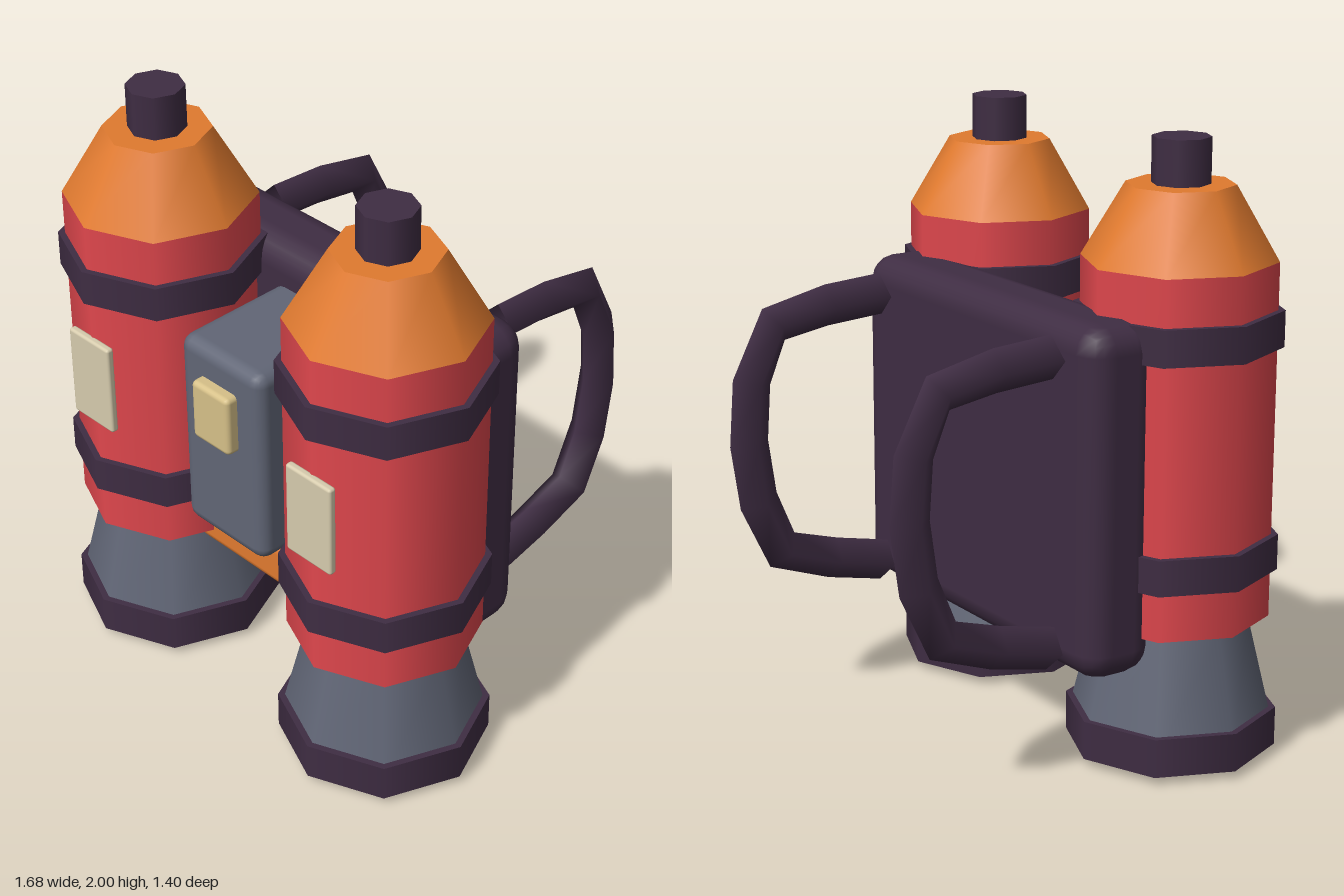
import * as THREE from 'three';
import { RoundedBoxGeometry } from 'three/addons/geometries/RoundedBoxGeometry.js';

export function createModel() {
  const mat = (name, color, extra = {}) => {
    const m = new THREE.MeshStandardMaterial({ color, ...extra });
    m.name = name;
    return m;
  };
  const red = mat('red', 0xe0474d);
  const orange = mat('orange', 0xe07a2f);
  const dark = mat('dark plum', 0x3f2d43, { side: THREE.DoubleSide });
  const grey = mat('slate grey', 0x616676);
  const cream = mat('cream', 0xd6cbad);
  const gold = mat('pale gold', 0xd6c088);

  const root = new THREE.Group();
  root.name = 'jetpack';

  const add = (parent, name, geometry, material, x = 0, y = 0, z = 0) => {
    const mesh = new THREE.Mesh(geometry, material);
    mesh.name = name;
    mesh.position.set(x, y, z);
    parent.add(mesh);
    return mesh;
  };
  // Eight-sided drum or cone between two heights
  const drum = (parent, name, rTop, rBottom, y0, y1, material) =>
    add(parent, name, new THREE.CylinderGeometry(rTop, rBottom, y1 - y0, 8), material, 0, (y0 + y1) / 2);
  // Rounded box given by its centre and size
  const box = (parent, name, [w, h, d], radius, material, x, y, z) =>
    add(parent, name, new RoundedBoxGeometry(w, h, d, 2, radius), material, x, y, z);

  // Central body
  box(root, 'backPlate', [1.34, 1.135, 0.26], 0.09, dark, 0, 0.912, 0.04);
  box(root, 'controlBox', [0.366, 0.71, 0.48], 0.045, grey, 0, 0.99, 0.34);
  box(root, 'button', [0.166, 0.212, 0.06], 0.018, gold, 0, 1.133, 0.592);
  box(root, 'crossBar', [1.4, 0.158, 0.195], 0.03, orange, 0, 0.487, 0.335);

  // Strap path in the y-z plane, as [y, z]
  const strapPath = new THREE.CatmullRomCurve3([
    [1.374, -0.12], [1.363, -0.312], [1.32, -0.53], [1.15, -0.61], [0.944, -0.628],
    [0.737, -0.6], [0.546, -0.515], [0.483, -0.33], [0.435, -0.12],
  ].map(([y, z]) => new THREE.Vector3(0, y, z)));
  const strapGeometry = new THREE.TubeGeometry(strapPath, 8, 0.07, 4);

  for (const [side, s] of [['left', 1], ['right', -1]]) {
    // Fuel tank with nose cone, bands and thruster
    const tank = new THREE.Group();
    tank.name = side + 'Thruster';
    tank.position.set(0.5 * s, 0, 0.357);
    root.add(tank);
    drum(tank, 'tankBody', 0.31, 0.31, 0.468, 1.62, red);
    drum(tank, 'noseCone', 0.172, 0.31, 1.62, 1.855, orange);
    drum(tank, 'noseCap', 0.093, 0.093, 1.82, 2, dark);
    drum(tank, 'upperBand', 0.332, 0.332, 1.353, 1.47, dark);
    drum(tank, 'lowerBand', 0.332, 0.332, 0.626, 0.743, dark);
    drum(tank, 'nozzle', 0.245, 0.333, 0.1, 0.46, grey);
    drum(tank, 'nozzleRing', 0.342, 0.342, 0.027, 0.155, dark);
    drum(tank, 'nozzleDisc', 0.237, 0.237, 0, 0.06, gold);
    box(tank, 'labelPlate', [0.19, 0.32, 0.028], 0.01, cream, 0, 1.056, 0.314);

    // Shoulder strap
    add(root, side + 'Strap', strapGeometry, dark, 0.5 * s);
  }
  return root;
}
